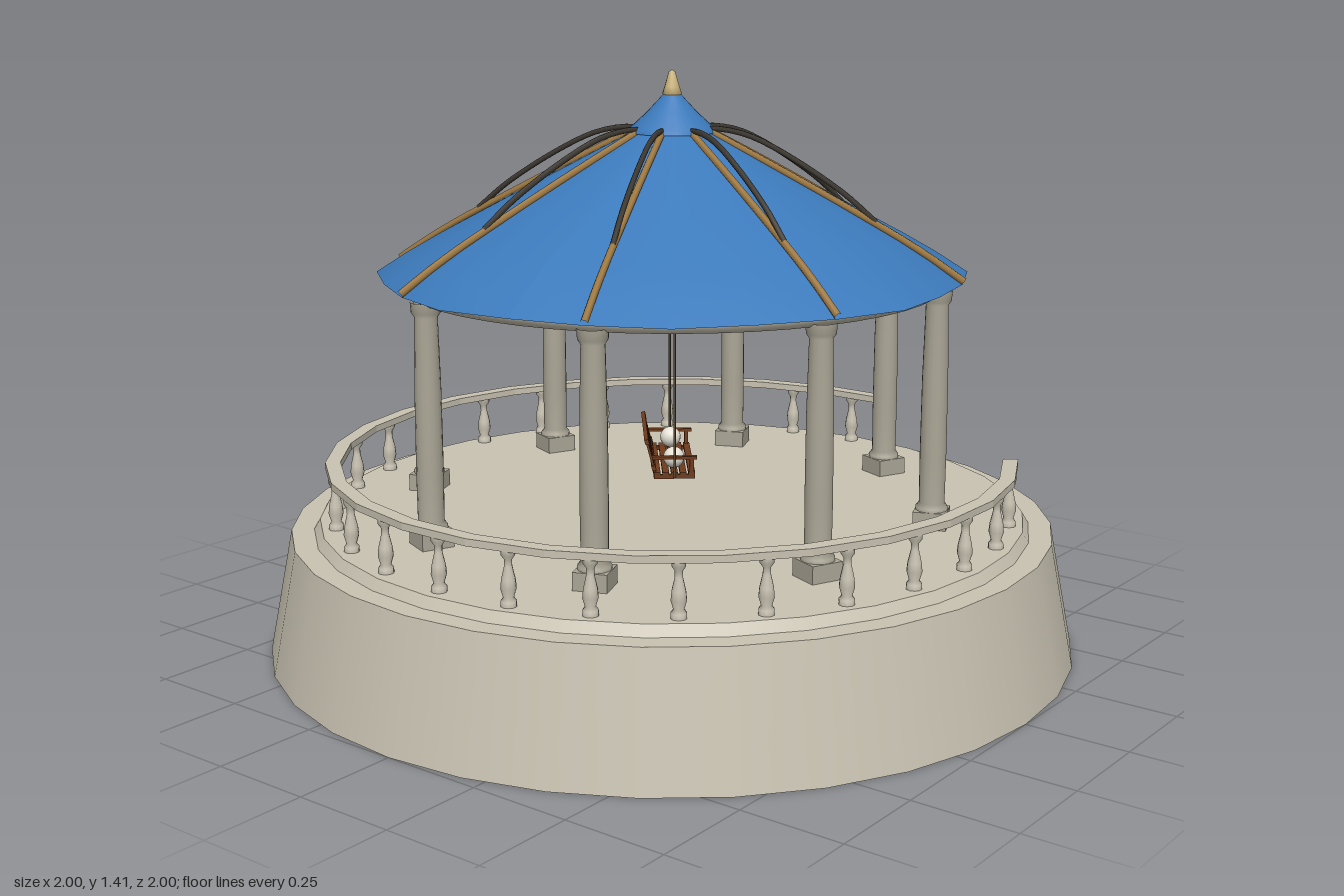
import * as THREE from 'three';

const mat = (name, color, side = THREE.FrontSide) => {
  const m = new THREE.MeshStandardMaterial({ color, side });
  m.name = name;
  return m;
};
const V2 = (pts) => pts.map(([x, y]) => new THREE.Vector2(x, y));

export function createModel() {
  const model = new THREE.Group();
  model.name = 'gardenPavilion';

  const stone = mat('paleStone', 0xc9c3b2);
  const column = mat('greyStone', 0xaba696);
  const blue = mat('blueRoof', 0x3c7abb, THREE.DoubleSide);
  const gold = mat('ribWood', 0xa07a42);
  const dark = mat('darkMetal', 0x3c3730);
  const wood = mat('benchWood', 0x6e3b1c);
  const rope = mat('rope', 0x564b36);
  const white = mat('lampWhite', 0xe6e2d6);
  const brass = mat('finialBrass', 0xc9b27a);

  const add = (parent, name, geo, material, x = 0, y = 0, z = 0) => {
    const m = new THREE.Mesh(geo, material);
    m.name = name;
    m.position.set(x, y, z);
    parent.add(m);
    return m;
  };
  const box = (w, h, d) => new THREE.BoxGeometry(w, h, d);
  const cyl = (rt, rb, h, n = 16) => new THREE.CylinderGeometry(rt, rb, h, n);
  const lathe = (pts, n = 16) => new THREE.LatheGeometry(V2(pts), n);

  // Plinth and floor step
  add(model, 'plinth', cyl(0.94, 1, 0.305, 32), stone, 0, 0.1525, 0);
  add(model, 'floorStep', cyl(0.87, 0.885, 0.025, 32), stone, 0, 0.3175, 0);

  // Balustrade: 24 bays of a 28-sided ring, leaving an entrance at the back
  const step = (Math.PI * 2) / 28;
  const railIn = 0.816, railOut = 0.853, railLow = 0.455, railTop = 0.472;
  const railGeo = new THREE.LatheGeometry(
    V2([[railIn, railLow], [railOut, railLow], [railOut, railTop], [railIn, railTop], [railIn, railLow]]),
    24, -14.5 * step, 24 * step).toNonIndexed();
  railGeo.computeVertexNormals();
  add(model, 'handrail', railGeo, stone);
  for (const k of [-14.5, 9.5]) {
    const a = k * step, r = (railIn + railOut) / 2;
    const cap = add(model, 'handrailEnd', box(0.004, railTop - railLow, railOut - railIn), stone,
      r * Math.sin(a), (railLow + railTop) / 2, r * Math.cos(a));
    cap.rotation.y = a;
  }
  const balusterGeo = lathe([[0.018, 0.33], [0.018, 0.342], [0.012, 0.35], [0.018, 0.37],
    [0.016, 0.39], [0.009, 0.42], [0.009, 0.435], [0.016, 0.445], [0.016, 0.457]], 10);
  for (let k = -14; k <= 9; k++) {
    add(model, 'baluster', balusterGeo, stone, 0.832 * Math.sin(k * step), 0, 0.832 * Math.cos(k * step));
  }

  // Eight columns carrying a ring beam
  const shaftGeo = lathe([[0.039, 0.37], [0.039, 0.38], [0.031, 0.39], [0.032, 0.5], [0.031, 0.7],
    [0.027, 0.875], [0.034, 0.885], [0.036, 0.91]], 16);
  for (let i = 0; i < 8; i++) {
    const a = (i + 0.5) * Math.PI / 4;
    const g = new THREE.Group();
    g.name = 'column';
    g.position.set(0.65 * Math.sin(a), 0, 0.65 * Math.cos(a));
    g.rotation.y = a;
    add(g, 'columnBase', box(0.08, 0.042, 0.08), column, 0, 0.351, 0);
    add(g, 'columnShaft', shaftGeo, column);
    model.add(g);
  }
  const beam = add(model, 'ringBeam', new THREE.TorusGeometry(0.65, 0.027, 10, 48), stone, 0, 0.928, 0);
  beam.rotation.x = Math.PI / 2;

  // Canopy: 24-sided dome whose rim swells at every third corner
  const roofProfile = [[0.715, 0.925], [0.64, 0.975], [0.56, 1.022], [0.4, 1.108], [0.25, 1.186], [0.09, 1.27]];
  const roofGeo = new THREE.LatheGeometry(V2(roofProfile), 24, Math.PI / 24);
  const rim = [0.702, 0.708, 0.722];
  const p = roofGeo.attributes.position;
  for (let i = 0; i < p.count; i++) {
    const row = i % roofProfile.length, corner = Math.floor(i / roofProfile.length) % 3;
    const f = 1 + (rim[corner] / 0.715 - 1) * Math.max(0, 1 - row / 3);
    p.setX(i, p.getX(i) * f);
    p.setZ(i, p.getZ(i) * f);
  }
  roofGeo.computeVertexNormals();
  add(model, 'roofCanopy', roofGeo, blue);

  // Ribs lying on the canopy, with arched rods rising towards the crown
  const tube = (pts, r, n) => new THREE.TubeGeometry(
    new THREE.CatmullRomCurve3(pts.map(([d, y]) => new THREE.Vector3(0, y, d))), n, r, 6);
  const ribGeo = tube([[0.712, 0.932], [0.64, 0.98], [0.56, 1.028], [0.4, 1.114], [0.25, 1.192], [0.09, 1.272]], 0.009, 16);
  const rodGeo = tube([[0.5, 1.065], [0.42, 1.132], [0.28, 1.22], [0.19, 1.262], [0.12, 1.276], [0.06, 1.275]], 0.007, 18);
  for (let i = 0; i < 8; i++) {
    const a = (i + 0.5) * Math.PI / 4;
    add(model, 'roofRib', ribGeo, gold).rotation.y = a;
    add(model, 'archedRod', rodGeo, dark).rotation.y = a;
  }

  // Crown and finial
  add(model, 'crownCap', lathe([[0.105, 1.266], [0.1, 1.278], [0.06, 1.315], [0.018, 1.36]], 24), blue);
  add(model, 'finial', lathe([[0.012, 1.345], [0.024, 1.358], [0.018, 1.375], [0.008, 1.41], [0, 1.415]], 12), brass);

  // Hanging lamp
  add(model, 'lampRod', cyl(0.005, 0.005, 0.2, 8), dark, 0, 1.18, 0);
  add(model, 'lampGlobe', new THREE.SphereGeometry(0.035, 20, 14), white, 0, 1.056, 0);

  // Swing bench facing the entrance
  const swing = new THREE.Group();
  swing.name = 'swingBench';
  swing.rotation.y = THREE.MathUtils.degToRad(130);
  model.add(swing);
  for (let i = 0; i < 5; i++) {
    add(swing, 'seatSlat', box(0.29, 0.007, 0.016), wood, 0, 0.453, -0.042 + i * 0.021);
  }
  for (const z of [-0.045, 0.045]) add(swing, 'seatBeam', box(0.28, 0.008, 0.01), wood, 0, 0.445, z);
  const back = new THREE.Group();
  back.name = 'seatBack';
  back.position.set(0, 0.455, -0.047);
  back.rotation.x = -0.25;
  swing.add(back);
  for (const y of [0.012, 0.08]) add(back, 'backRail', box(0.29, 0.012, 0.01), wood, 0, y, 0);
  for (let i = 0; i < 13; i++) add(back, 'backSlat', box(0.012, 0.08, 0.006), wood, -0.135 + i * 0.0225, 0.042, 0);
  for (const s of [-1, 1]) {
    add(swing, 'armrest', box(0.014, 0.007, 0.11), wood, s * 0.138, 0.492, 0);
    add(swing, 'armPost', box(0.01, 0.045, 0.01), wood, s * 0.138, 0.47, 0.042);
    add(swing, 'seatSide', box(0.01, 0.01, 0.1), wood, s * 0.138, 0.445, 0);
    add(swing, 'swingRope', cyl(0.003, 0.003, 0.78, 6), rope, s * 0.146, 0.835, 0);
    add(swing, 'ballCushion', new THREE.SphereGeometry(0.026, 16, 12), white, s * 0.1, 0.483, 0);
  }
  return model;
}
